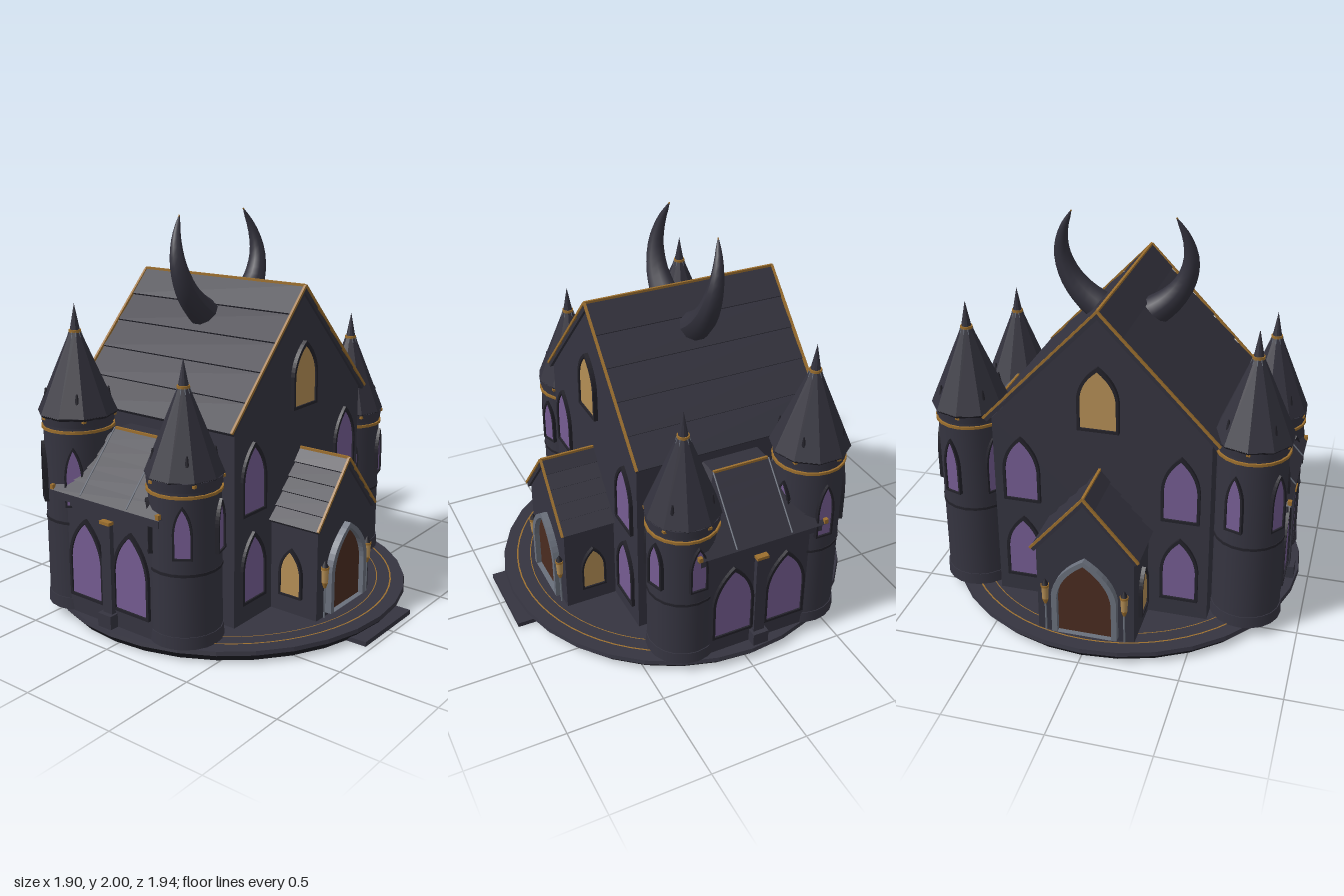
import * as THREE from 'three';

const mat = (name, color) => Object.assign(new THREE.MeshStandardMaterial({ color }), { name });
const M = {
  wall: mat('slate wall', 0x353440), roof: mat('roof slate', 0x32313c), trim: mat('dark trim', 0x23222a),
  base: mat('base stone', 0x1f1e26), gold: mat('gold trim', 0x9c6f2e), violet: mat('violet glass', 0x755c92),
  amber: mat('amber glass', 0xb48e55), door: mat('door wood', 0x4a2c20), steel: mat('grey steel', 0x6a707c),
};

function add(parent, name, geo, material, x = 0, y = 0, z = 0) {
  const m = new THREE.Mesh(geo, material);
  m.name = name;
  m.position.set(x, y, z);
  parent.add(m);
  return m;
}
function group(parent, name, x = 0, y = 0, z = 0, ry = 0) {
  const g = new THREE.Group();
  g.name = name;
  g.position.set(x, y, z);
  g.rotation.y = ry;
  parent.add(g);
  return g;
}
const box = (w, h, d) => new THREE.BoxGeometry(w, h, d);
const cyl = (rt, rb, h, n = 20) => new THREE.CylinderGeometry(rt, rb, h, n);
const flat = (g) => { const f = g.toNonIndexed(); f.computeVertexNormals(); return f; };
const extrude = (shape, depth) => new THREE.ExtrudeGeometry(shape, { depth, bevelEnabled: false, curveSegments: 8 });

// Thin rod between two points
function rod(parent, name, a, b, r, material) {
  const A = new THREE.Vector3(...a), d = new THREE.Vector3(...b).sub(A);
  const m = add(parent, name, cyl(r, r, d.length(), 6), material);
  m.position.copy(A).addScaledVector(d, 0.5);
  m.quaternion.setFromUnitVectors(new THREE.Vector3(0, 1, 0), d.normalize());
  return m;
}

// Pointed arch outline with its foot at y = 0
function arch(w, h, y0 = 0, Type = THREE.Shape) {
  const s = new Type(), k = w / 2, spring = y0 + (h - y0) * 0.5;
  s.moveTo(-k, y0);
  s.lineTo(k, y0);
  s.lineTo(k, spring);
  s.quadraticCurveTo(k * 0.92, spring + (h - spring) * 0.58, 0, h);
  s.quadraticCurveTo(-k * 0.92, spring + (h - spring) * 0.58, -k, spring);
  s.closePath();
  return s;
}
// Window facing +z, glass foot at the group origin
function archWindow(parent, w, h, glass, x, y, z, ry = 0, rim = 0.014) {
  const g = group(parent, 'window', x, y, z, ry);
  const frame = arch(w + rim * 2, h + rim * 1.6, -rim);
  frame.holes.push(arch(w, h, 0, THREE.Path));
  add(g, 'windowFrame', extrude(frame, 0.022), M.trim);
  add(g, 'windowGlass', extrude(arch(w, h), 0.009), glass, 0, 0, 0.004);
}

// Gabled block with walls and a stepped slate roof, running along z
function gableWall(parent, name, half, eave, apex, z0, z1) {
  const s = new THREE.Shape([[-half, 0.06], [half, 0.06], [half, eave], [0, apex], [-half, eave]]
    .map((p) => new THREE.Vector2(...p)));
  add(parent, name, extrude(s, z1 - z0), M.wall, 0, 0, z0);
}
function gableRoof(parent, name, half, eave, ridge, z0, z1, courses) {
  const len = Math.hypot(half, ridge - eave), nx = (ridge - eave) / len, ny = half / len;
  const pts = [[0, ridge]];
  for (let i = 1; i <= courses; i++) {
    const t = i / courses, x = half * t, y = ridge + (eave - ridge) * t;
    pts.push([x, y]);
    pts.push([x - nx * 0.012, y - ny * 0.012]);
  }
  pts.push([half - nx * 0.026, eave - ny * 0.026], [0, ridge - 0.04]);
  for (const side of [1, -1]) {
    const s = new THREE.Shape(pts.map(([x, y]) => new THREE.Vector2(x * side, y)));
    add(parent, name, extrude(s, z1 - z0), M.roof, 0, 0, z0);
    for (const z of [z0, z1]) {
      const r = add(parent, 'gableTrim', box(len, 0.012, 0.012), M.gold, side * half / 2, (eave + ridge) / 2, z);
      r.rotation.z = -side * Math.atan2(ridge - eave, half);
    }
  }
  add(parent, 'ridgeTrim', box(0.012, 0.012, z1 - z0), M.gold, 0, ridge, (z0 + z1) / 2);
}

// Windows, porch, door and lanterns of one gable end
function facade(parent, ry) {
  const f = group(parent, 'facade', 0, 0, 0, ry);
  for (const x of [-0.405, 0.405])
    for (const y of [0.175, 0.63]) archWindow(f, 0.165, 0.325, M.violet, x, y, 0.5);
  archWindow(f, 0.18, 0.3, M.amber, 0, 1.08, 0.512);
  gableWall(f, 'porch', 0.245, 0.54, 0.82, 0.48, 0.78);
  gableRoof(f, 'porchRoof', 0.27, 0.54, 0.85, 0.48, 0.795, 5);
  const frame = arch(0.33, 0.515, 0.08);
  frame.holes.push(arch(0.275, 0.488, 0.08, THREE.Path));
  add(f, 'doorArch', extrude(frame, 0.04), M.steel, 0, 0, 0.775);
  add(f, 'door', extrude(arch(0.275, 0.488, 0.08), 0.009), M.door, 0, 0, 0.778);
  for (const s of [1, -1]) {
    archWindow(f, 0.115, 0.23, M.amber, s * 0.243, 0.165, 0.63, s * Math.PI / 2, 0.01);
    const l = group(f, 'lantern', s * 0.2, 0, 0.797);
    add(l, 'lanternPost', cyl(0.005, 0.005, 0.16, 6), M.steel, 0, 0.15);
    add(l, 'lanternFoot', cyl(0.017, 0.007, 0.03, 8), M.gold, 0, 0.245);
    add(l, 'lanternGlass', cyl(0.02, 0.016, 0.07, 8), M.amber, 0, 0.295);
    add(l, 'lanternBand', cyl(0.022, 0.022, 0.012, 8), M.gold, 0, 0.335);
    add(l, 'lanternCap', cyl(0.004, 0.018, 0.03, 8), M.trim, 0, 0.356);
  }
}

// Round corner tower with five windows and a ten-sided spire
function tower(parent, x, z, top, tip, roofR, bandY, winY, winH) {
  const t = group(parent, 'tower', x, 0, z);
  add(t, 'towerWall', cyl(0.174, 0.176, top - 0.06), M.wall, 0, (top + 0.06) / 2);
  add(t, 'towerPlinth', cyl(0.18, 0.184, 0.06), M.wall, 0, 0.09);
  add(t, 'towerBand', cyl(0.179, 0.179, 0.014), M.trim, 0, bandY);
  add(t, 'goldBand', cyl(0.184, 0.184, 0.014), M.gold, 0, top - 0.07);
  add(t, 'cornice', cyl(0.184, 0.18, 0.045), M.wall, 0, top - 0.025);
  for (let i = 0; i < 5; i++) {
    const a = i * Math.PI * 0.4;
    archWindow(t, 0.074, winH, M.violet, Math.cos(a) * 0.166, winY, Math.sin(a) * 0.166, Math.PI / 2 - a, 0.01);
  }
  const neck = tip - 0.135, h = neck - top;
  add(t, 'spire', flat(cyl(0.027, roofR, h, 10)), M.roof, 0, top + h / 2);
  add(t, 'eaveRim', flat(cyl(roofR, roofR - 0.01, 0.014, 10)), M.trim, 0, top - 0.005);
  add(t, 'goldCollar', cyl(0.031, 0.031, 0.014, 10), M.gold, 0, neck);
  add(t, 'finial', flat(cyl(0, 0.026, 0.135, 10)), M.roof, 0, tip - 0.0675);
  for (let i = 0; i < 10; i += 1) {
    const a = i * Math.PI / 5, c = Math.sin(a), s = Math.cos(a), r = roofR * 0.5;
    if (i % 5 !== 2) rod(t, 'spireRib', [c * r, top + h * 0.43, s * r], [c * 0.028, neck, s * 0.028], 0.0025, M.steel);
    if (i % 2) add(t, 'eaveStud', box(0.02, 0.014, 0.02), M.gold, c * 0.178, top - 0.016, s * 0.178);
  }
  for (let i = 0; i < 4; i++) {
    const a = Math.PI / 4 + i * Math.PI / 2, r = roofR * 0.77;
    add(t, 'roofVent', cyl(0.004, 0.013, 0.05, 6), M.trim, Math.cos(a) * r, top + h * 0.23, Math.sin(a) * r);
  }
}

// Side wing with a hipped, stepped roof
function wing(parent, ry) {
  const w = group(parent, 'wing', 0, 0, 0, ry);
  add(w, 'wingWall', box(0.36, 0.6, 0.64), M.wall, 0.7, 0.36, 0);
  for (const z of [-0.147, 0.147]) archWindow(w, 0.2, 0.385, M.violet, 0.876, 0.17, z, Math.PI / 2);
  add(w, 'pilaster', box(0.04, 0.54, 0.06), M.wall, 0.885, 0.33, 0);
  add(w, 'pilasterFoot', box(0.06, 0.07, 0.085), M.wall, 0.9, 0.095, 0);
  add(w, 'pilasterCap', box(0.05, 0.016, 0.065), M.gold, 0.887, 0.597, 0);
  add(w, 'wingEave', box(0.36, 0.05, 0.67), M.wall, 0.72, 0.672, 0);
  const n = 5, X = (t) => 0.91 - 0.255 * t, Z = (t) => 0.35 - 0.2 * t;
  for (let i = 0; i < n; i++) {
    const t0 = i / n, t1 = (i + 1) / n;
    const g = box(1, 1, 1), p = g.attributes.position;
    for (let k = 0; k < p.count; k++) {
      const t = p.getY(k) > 0 ? t1 : t0, kick = p.getY(k) > 0 ? 0 : 0.008;
      const x = p.getX(k) > 0 ? X(t) + kick : 0.53;
      p.setXYZ(k, x, 0.695 + 0.29 * t, Math.sign(p.getZ(k)) * (Z(t) + kick));
    }
    g.computeVertexNormals();
    add(w, 'wingRoof', g, M.roof);
  }
  add(w, 'wingRidge', box(0.012, 0.012, 0.3), M.gold, 0.655, 0.988, 0);
  for (const s of [1, -1]) {
    rod(w, 'wingRoofRod', [0.915, 0.705, s * 0.152], [0.66, 0.99, s * 0.152], 0.004, M.steel);
    add(w, 'eaveCorner', box(0.02, 0.024, 0.02), M.gold, 0.91, 0.71, s * 0.345);
  }
}

// Curved, tapering horn built from rings along a curve
function horn(parent, side) {
  const path = new THREE.CatmullRomCurve3([[0.13, 1.49, 0], [0.22, 1.56, 0], [0.29, 1.65, -0.002], [0.327, 1.77, -0.015],
    [0.312, 1.89, -0.037], [0.26, 2.0, -0.06]].map(([x, y, z]) => new THREE.Vector3(x * side, y, z)));
  const N = 14, R = 10, g = new THREE.TubeGeometry(path, N, 1, R, false), p = g.attributes.position;
  const c = new THREE.Vector3(), v = new THREE.Vector3();
  for (let i = 0; i <= N; i++) {
    path.getPointAt(i / N, c);
    const r = 0.002 + 0.08 * Math.pow(1 - i / N, 0.8);
    for (let j = 0; j <= R; j++) {
      const k = i * (R + 1) + j;
      v.fromBufferAttribute(p, k).sub(c).multiplyScalar(r).add(c);
      p.setXYZ(k, v.x, v.y, v.z);
    }
  }
  g.computeVertexNormals();
  add(parent, 'horn', g, M.roof);
  rod(parent, 'hornTip', [side * 0.27, 1.983, -0.056], [side * 0.26, 2.0, -0.06], 0.004, M.gold);
}

export function createModel() {
  const root = new THREE.Group();
  root.name = 'castle';

  // Round base with inlaid gold rings and a front step
  const base = group(root, 'base', 0, 0, -0.025);
  add(base, 'baseUnderside', flat(cyl(0.95, 0.915, 0.04, 32)), M.base, 0, 0.02);
  add(base, 'baseTop', flat(cyl(0.945, 0.95, 0.02, 32)), M.wall, 0, 0.05);
  for (const [r, w] of [[0.872, 0.008], [0.8, 0.005]]) {
    const ring = add(base, 'baseRing', new THREE.RingGeometry(r - w / 2, r + w / 2, 64), M.gold, 0, 0.063);
    ring.rotation.x = -Math.PI / 2;
  }
  add(root, 'frontStep', box(0.44, 0.024, 0.14), M.wall, 0, 0.012, 0.9);

  // Main hall
  const hall = group(root, 'hall', 0, 0, -0.08);
  gableWall(hall, 'hallWall', 0.55, 1.06, 1.645, -0.505, 0.505);
  gableRoof(hall, 'hallRoof', 0.59, 1.06, 1.675, -0.52, 0.52, 5);
  for (const ry of [0, Math.PI]) {
    facade(hall, ry);
    wing(hall, ry);
  }
  for (const s of [1, -1]) {
    tower(hall, s * 0.72, 0.345, 0.88, 1.42, 0.19, 0.43, 0.52, 0.235);
    tower(hall, s * 0.72, -0.345, 1.06, 1.595, 0.2, 0.52, 0.62, 0.28);
    horn(hall, s);
  }
  return root;
}
